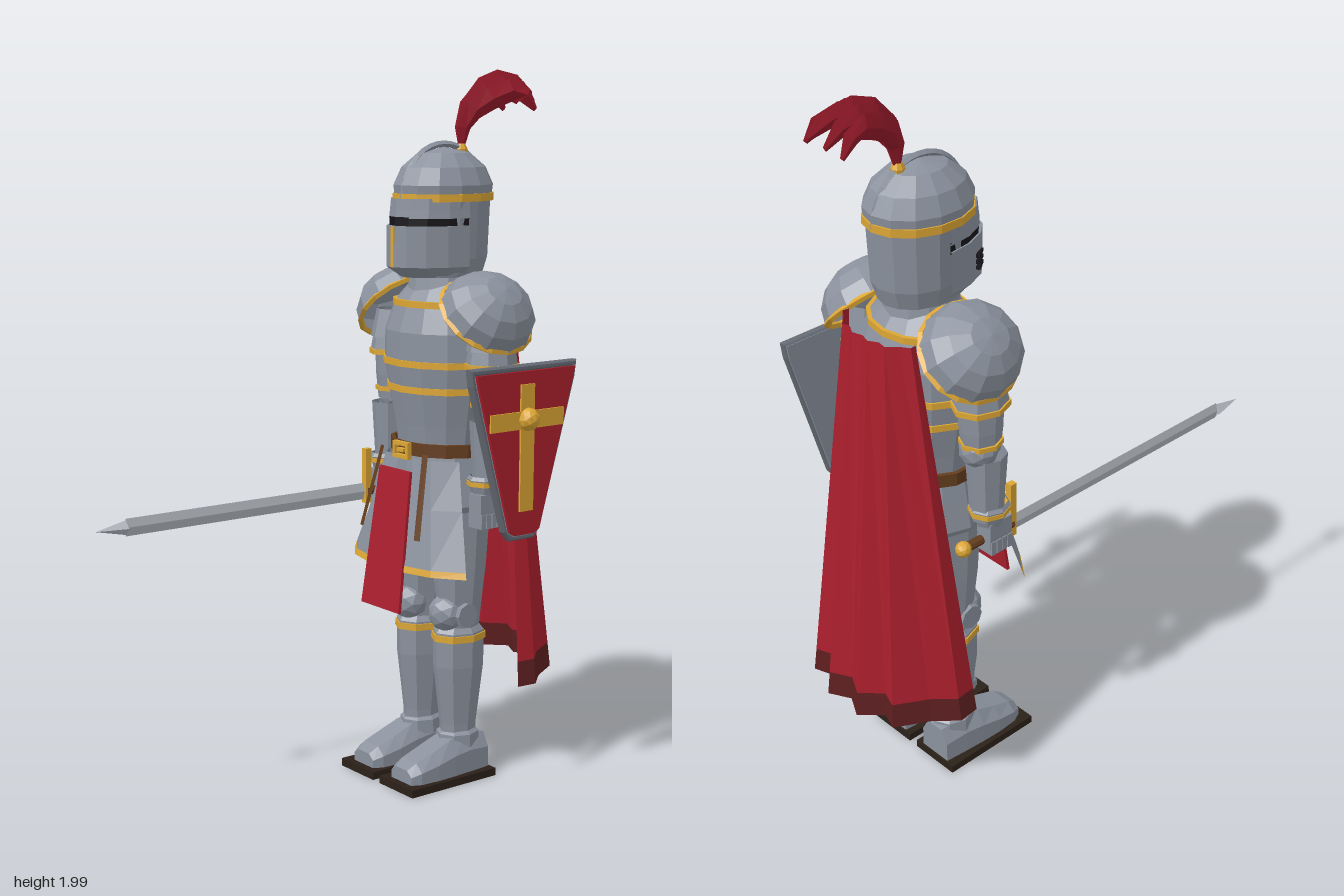
import * as THREE from 'three';

const mat = (name, color) => {
  const m = new THREE.MeshStandardMaterial({ color, flatShading: true, side: THREE.DoubleSide });
  m.name = name;
  return m;
};
const V = (x, y, z) => new THREE.Vector3(x, y, z);

export function createModel() {
  const steel = mat('steel', 0x8b929e), darkSteel = mat('dark steel', 0x676c75), bladeMat = mat('blade', 0xb4b8bf);
  const gold = mat('gold', 0xdca634), red = mat('red cloth', 0xab1f2d), darkRed = mat('dark red hem', 0x5e1f20);
  const plumeRed = mat('plume red', 0x981a2a), leather = mat('leather', 0x643d1e), black = mat('black', 0x17151a);
  const soleMat = mat('sole', 0x2b2119);

  const model = new THREE.Group();
  model.name = 'armouredKnight';
  const body = new THREE.Group();
  body.name = 'body';
  body.position.set(-0.046, 0, -0.33);
  model.add(body);

  const add = (name, geo, m, x = 0, y = 0, z = 0, parent = body) => {
    const mesh = new THREE.Mesh(geo, m);
    mesh.name = name;
    mesh.position.set(x, y, z);
    parent.add(mesh);
    return mesh;
  };
  const box = (name, m, w, h, d, x, y, z, parent) => add(name, new THREE.BoxGeometry(w, h, d), m, x, y, z, parent);
  // turned part: [radius, y] pairs from bottom to top, depth scaled by sz
  const turned = (name, m, pts, seg = 10, sz = 1, x = 0, z = 0, start = 0, len = Math.PI * 2) => {
    const geo = new THREE.LatheGeometry(pts.map(p => new THREE.Vector2(p[0], p[1])), seg, start, len);
    geo.scale(1, 1, sz);
    return add(name, geo, m, x, 0, z);
  };
  const band = (name, m, r, y, h = 0.016, seg = 10, sz = 1, x = 0, z = 0) =>
    turned(name, m, [[r - 0.012, y - h / 2], [r, y - h / 2], [r, y + h / 2], [r - 0.012, y + h / 2]], seg, sz, x, z);
  // surface through rows of points; closed rows become a capped solid
  const sheet = (rows, closed = false) => {
    const n = rows[0].length, idx = [], cols = closed ? n : n - 1;
    for (let k = 0; k < rows.length - 1; k++) for (let j = 0; j < cols; j++) {
      const a = k * n + j, b = k * n + (j + 1) % n;
      idx.push(a, b, a + n, b, b + n, a + n);
    }
    if (closed) for (let j = 1; j < n - 1; j++) {
      const e = (rows.length - 1) * n;
      idx.push(0, j + 1, j, e, e + j, e + j + 1);
    }
    const geo = new THREE.BufferGeometry().setFromPoints(rows.flat());
    geo.setIndex(idx);
    const flat = geo.toNonIndexed();
    flat.computeVertexNormals();
    return flat;
  };

  // torso
  turned('cuirass', steel, [[0.135, 0.96], [0.145, 1.02], [0.165, 1.12], [0.178, 1.2], [0.176, 1.28], [0.145, 1.36], [0.09, 1.42]], 14, 0.86);
  [[0.171, 1.122], [0.183, 1.195], [0.152, 1.357]].forEach(([r, y]) => band('cuirassTrim', gold, r, y, 0.018, 14, 0.86));
  turned('gorget', steel, [[0.1, 1.39], [0.085, 1.47]], 12);
  turned('fauld', steel, [[0.13, 0.72], [0.17, 0.8], [0.158, 0.88], [0.145, 0.96]], 12, 0.8);
  band('belt', leather, 0.157, 0.955, 0.036, 14, 0.86);
  const buckle = new THREE.Group();
  buckle.name = 'buckle';
  body.add(buckle);
  for (const s of [1, -1]) {
    box('buckleBar', gold, 0.066, 0.011, 0.014, 0, 0.951 + s * 0.018, 0.142, buckle);
    box('buckleSide', gold, 0.011, 0.046, 0.014, s * 0.029, 0.951, 0.142, buckle);
  }
  box('bucklePin', gold, 0.028, 0.01, 0.016, 0, 0.951, 0.142, buckle);

  // tabard
  const tabardRow = (w, y, z) => [V(-w, y, z), V(-w, y, z - 0.009), V(w, y, z - 0.009), V(w, y, z)];
  add('tabard', sheet([tabardRow(0.068, 0.9, 0.168), tabardRow(0.077, 0.7, 0.194), tabardRow(0.085, 0.51, 0.219)], true), red);

  for (const s of [1, -1]) {
    // hip plates with trimmed edge
    const tasset = y => {
      const t = (0.93 - y) / 0.3;
      return [V(s * (0.03 + 0.05 * t), y, 0.128 + 0.07 * t), V(s * (0.1 + 0.07 * t), y, 0.12 + 0.055 * t),
        V(s * (0.15 + 0.1 * t), y, 0.06 + 0.055 * t)];
    };
    add('tasset', sheet([tasset(0.93), tasset(0.8), tasset(0.642)]), steel);
    add('tassetTrim', sheet([tasset(0.642), tasset(0.624)]), gold);
    add('hangingStrap', sheet([[V(s * 0.085, 0.95, 0.138), V(s * 0.105, 0.95, 0.134)],
      [V(s * 0.115, 0.72, 0.19), V(s * 0.135, 0.72, 0.185)]]), leather);

    // leg
    const lx = s * 0.083;
    turned('thigh', steel, [[0.052, 0.42], [0.06, 0.52], [0.07, 0.62], [0.08, 0.8]], 8, 1.15, lx);
    turned('greave', steel, [[0.044, 0.11], [0.046, 0.16], [0.063, 0.33], [0.064, 0.43], [0.05, 0.45]], 8, 1.25, lx);
    band('greaveTrim', gold, 0.068, 0.415, 0.019, 8, 1.25, lx);
    add('kneeCop', new THREE.IcosahedronGeometry(0.055, 1), steel, lx, 0.485, 0.042);
    const disc = add('kneeDisc', new THREE.CylinderGeometry(0.035, 0.035, 0.016, 8), steel, lx + s * 0.058, 0.485, 0.02);
    disc.rotation.z = Math.PI / 2;
    const foot = [[-0.07, 0.05, 0.1], [0, 0.056, 0.11], [0.06, 0.06, 0.1], [0.12, 0.062, 0.078], [0.18, 0.058, 0.058], [0.208, 0.045, 0.04]];
    add('sabaton', sheet(foot.map(([z, w, h]) => [[-w, 0], [w, 0], [w, 0.6 * h], [0.55 * w, h], [-0.55 * w, h], [-w, 0.6 * h]]
      .map(([x, y]) => V(x, y, z))), true), steel, s * 0.088, 0.02, 0);
    turned('ankleCuff', steel, [[0.058, 0.09], [0.056, 0.13], [0.044, 0.14]], 8, 1.15, lx);
    box('sole', soleMat, 0.15, 0.022, 0.305, s * 0.09, 0.011, 0.077);

    // pauldron dome, tilted outward
    const pauldron = new THREE.Group();
    pauldron.name = 'pauldron';
    pauldron.position.set(s * 0.18, 1.33, -0.005);
    pauldron.rotation.z = -s * Math.PI / 4;
    body.add(pauldron);
    const dome = add('pauldronDome', new THREE.SphereGeometry(0.143, 12, 4, 0, Math.PI * 2, 0, Math.PI / 2), steel, 0, 0, 0, pauldron);
    dome.scale.set(0.92, 0.8, 1);
    const rim = add('pauldronTrim', new THREE.TorusGeometry(0.139, 0.009, 4, 16), gold, 0, 0, 0, pauldron);
    rim.rotation.x = Math.PI / 2;
    rim.scale.x = 0.92;

    // arm
    const ax = s * 0.212;
    turned('shoulderLame', steel, [[0.067, 1.195], [0.06, 1.24], [0.066, 1.24], [0.05, 1.32]], 8, 1.15, ax);
    band('shoulderTrim', gold, 0.07, 1.198, 0.015, 8, 1.15, ax);
    turned('upperArm', steel, [[0.046, 1.06], [0.053, 1.13], [0.056, 1.22]], 8, 1.1, ax);
    add('elbowCop', new THREE.IcosahedronGeometry(0.052, 1), steel, ax, 1.07, -0.008);
    band('elbowTrim', gold, 0.056, 1.09, 0.013, 8, 1.05, ax);
    turned('vambrace', steel, [[0.042, 0.86], [0.046, 0.93], [0.053, 1.05]], 8, 1.05, s * 0.218, 0.012);
    turned('gauntletCuff', steel, [[0.036, 0.84], [0.052, 0.89], [0.045, 0.9]], 8, 1.1, s * 0.22, 0.02);
    band('cuffTrim', gold, 0.053, 0.88, 0.013, 8, 1.1, s * 0.22, 0.02);
    box('hand', steel, 0.05, 0.075, 0.075, s * 0.228, 0.815, 0.03);
    for (let i = 0; i < 4; i++) box('finger', steel, 0.056, 0.04, 0.016, s * 0.228, 0.778, 0.002 + i * 0.019);
  }

  // helmet
  turned('helmetSide', steel, [[0.095, 1.43], [0.108, 1.48], [0.114, 1.65]], 14, 1.25);
  turned('helmetDome', steel, [[0.118, 1.64], [0.122, 1.68], [0.103, 1.728], [0.064, 1.766], [0, 1.782]], 14, 1.22);
  band('helmetBand', gold, 0.1235, 1.647, 0.021, 14, 1.22);
  const half = [-Math.PI / 2, Math.PI];
  turned('visor', steel, [[0.085, 1.43], [0.115, 1.46], [0.115, 1.572], [0.1, 1.572]], 8, 1.55, 0, 0, ...half);
  turned('eyeSlit', black, [[0.111, 1.566], [0.111, 1.596]], 8, 1.52, 0, 0, ...half);
  turned('browPlate', steel, [[0.1, 1.592], [0.116, 1.592], [0.114, 1.615], [0.112, 1.645]], 8, 1.45, 0, 0, ...half);
  box('visorStripe', gold, 0.012, 0.11, 0.009, 0, 1.515, 0.175);
  // breathing holes on one cheek
  for (let i = 0; i < 3; i++) {
    const hole = box('breathHole', black, 0.04, 0.009, 0.01, -0.091, 1.493 + i * 0.016, 0.112);
    hole.rotation.y = -0.95;
  }
  const comb = add('helmetComb', new THREE.TorusGeometry(0.143, 0.009, 4, 18, Math.PI), steel, 0, 1.647, 0);
  comb.rotation.y = Math.PI / 2;

  // plume
  turned('plumeSocket', gold, [[0.014, 1.745], [0.018, 1.775], [0.011, 1.79]], 8, 1, 0, -0.062);
  for (let i = -2; i <= 2; i++) {
    const a = Math.abs(i), drop = a * 0.014;
    const curve = new THREE.CatmullRomCurve3([V(0, 1.77, -0.062), V(i * 0.006, 1.86, -0.075),
      V(i * 0.016, 1.94 - drop, -0.14), V(i * 0.027, 1.962 - drop, -0.225), V(i * 0.033, 1.925 - drop * 1.5, -0.32 + a * 0.022)]);
    const rows = [0.008, 0.022, 0.031, 0.034, 0.032, 0.026, 0.008].map((r, k) => {
      const p = curve.getPoint(k / 6), T = curve.getTangent(k / 6), U = V(1, 0, 0), W = T.clone().cross(U);
      return [[1, 0], [0, 1], [-1, 0], [0, -1]].map(([u, w]) => p.clone().addScaledVector(U, u * r * 0.45).addScaledVector(W, w * r));
    });
    add('plumeFeather', sheet(rows, true), plumeRed);
  }

  // pleated cape with hem; half of the lower edge as [x, z], from the middle outward
  const edge = [[0, -0.285], [0.06, -0.317], [0.115, -0.262], [0.165, -0.28], [0.215, -0.19], [0.268, -0.13], [0.262, -0.07]];
  const fullEdge = [...edge.slice(1).map(([x, z]) => [-x, z]).reverse(), ...edge];
  const capeRow = y => {
    const t = (1.375 - y) / 1.085;
    return fullEdge.map(([x, z]) => V(x * (0.48 + 0.52 * t), y, THREE.MathUtils.lerp(-0.13 + (z + 0.07) * 0.28, z, t)));
  };
  add('cape', sheet([capeRow(1.375), capeRow(0.36)]), red);
  add('capeHem', sheet([capeRow(0.36), capeRow(0.29)]), darkRed);

  // sword held level, pointing forward
  const sword = new THREE.Group();
  sword.name = 'sword';
  sword.position.set(-0.265, 0.793, 0);
  model.add(sword);
  const blade = [-0.22, 0.57].map(z => [[0.006, 0], [0, 0.024], [-0.006, 0], [0, -0.024]].map(([x, y]) => V(x, y, z)));
  add('blade', sheet(blade, true), bladeMat, 0, 0, 0, sword);
  const tip = add('bladeTip', new THREE.ConeGeometry(0.02, 0.09, 4), bladeMat, 0, 0, 0.615, sword);
  tip.rotation.x = Math.PI / 2;
  box('guard', gold, 0.018, 0.16, 0.02, 0, 0.045, -0.232, sword);
  const grip = add('grip', new THREE.CylinderGeometry(0.013, 0.013, 0.16, 8), leather, 0, 0, -0.31, sword);
  grip.rotation.x = Math.PI / 2;
  add('pommel', new THREE.IcosahedronGeometry(0.022, 1), gold, 0, 0, -0.4, sword);

  // shield, built facing +z then turned to face the left side
  const shield = new THREE.Group();
  shield.name = 'shield';
  shield.position.set(0.269, 0, -0.335);
  shield.rotation.y = Math.PI / 2;
  model.add(shield);
  const outline = inset => {
    const pts = [[0.19 - inset, 1.215 - inset], [0.184 - inset, 1.17], [0.066 - inset * 0.8, 0.765], [0.044 - inset * 0.6, 0.738 + inset]];
    return [...pts, ...pts.map(([x, y]) => [-x, y]).reverse()].map(([x, y]) => new THREE.Vector2(x, y));
  };
  const plate = (name, m, shape, depth, z, bevel = 0) => add(name, new THREE.ExtrudeGeometry(shape,
    { depth, bevelEnabled: bevel > 0, bevelSize: bevel, bevelOffset: -bevel, bevelThickness: bevel, bevelSegments: 1 }), m, 0, 0, z, shield);
  plate('shieldBoard', steel, new THREE.Shape(outline(0.004)), 0.014, 0.002, 0.002);
  const rimShape = new THREE.Shape(outline(0));
  rimShape.holes.push(new THREE.Path(outline(0.017).reverse()));
  plate('shieldRim', darkSteel, rimShape, 0.016, 0.006, 0.005);
  plate('shieldFace', red, new THREE.Shape(outline(0.016)), 0.009, 0.026);
  plate('shieldCore', steel, new THREE.Shape(outline(0.02)), 0.012, 0.015);
  box('crossUpright', gold, 0.048, 0.345, 0.007, 0, 0.992, 0.037, shield);
  box('crossBar', gold, 0.26, 0.048, 0.007, 0, 1.068, 0.037, shield);
  add('shieldBoss', new THREE.IcosahedronGeometry(0.032, 1), gold, 0, 1.07, 0.042, shield);

  return model;
}
